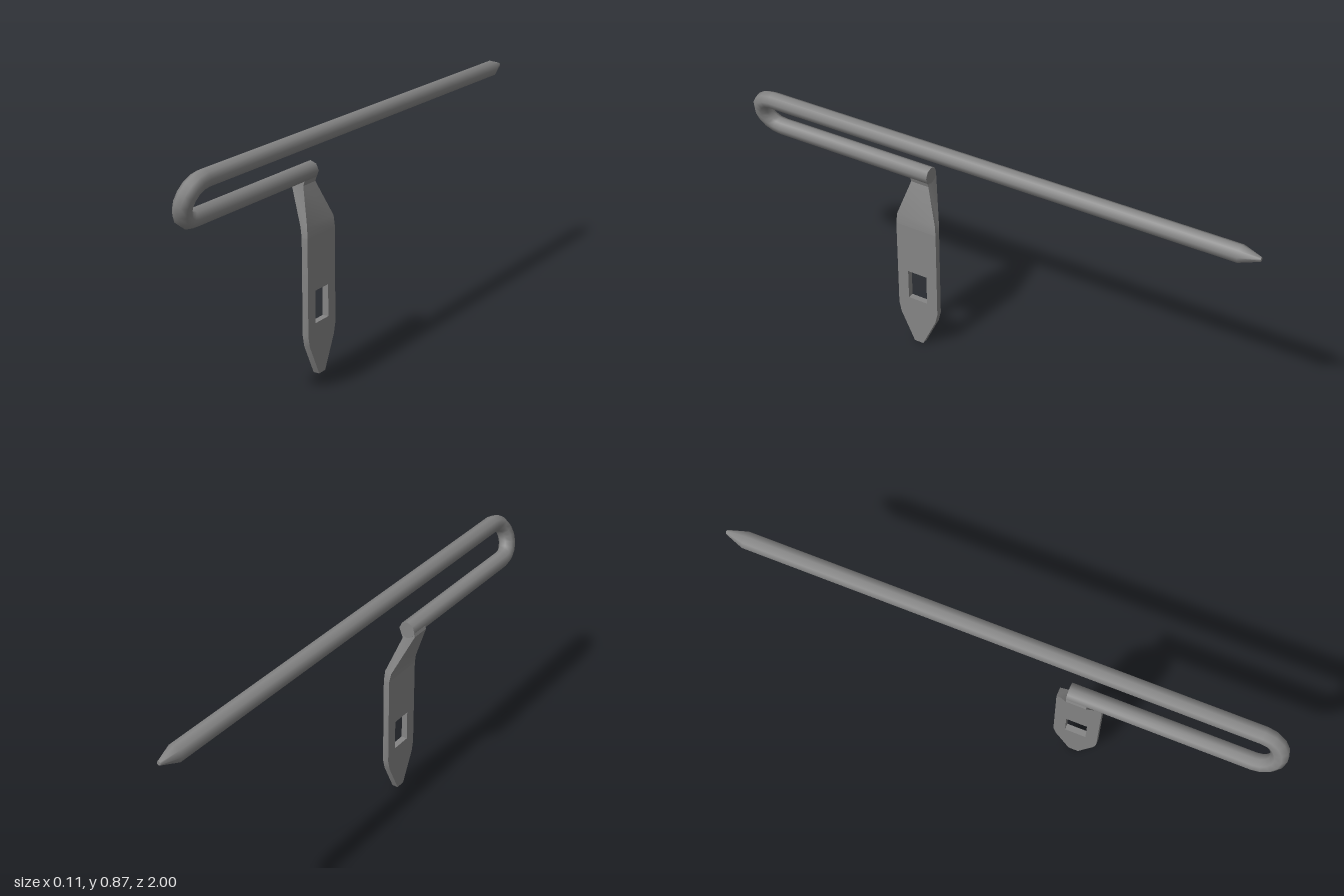
import * as THREE from 'three';
import { toCreasedNormals } from 'three/addons/utils/BufferGeometryUtils.js';

const material = new THREE.MeshStandardMaterial({ color: 0x848484 });

// Skins a row of equal-sized point rings and caps both ends
function loft(rings, crease) {
  const n = rings[0].length, index = [];
  for (let i = 0; i < rings.length - 1; i++) {
    for (let j = 0; j < n; j++) {
      const a = i * n + j, b = i * n + (j + 1) % n;
      index.push(a, b, a + n, b, b + n, a + n);
    }
  }
  const last = (rings.length - 1) * n;
  for (let j = 1; j < n - 1; j++) {
    index.push(0, j + 1, j, last, last + j, last + j + 1);
  }
  const geometry = new THREE.BufferGeometry();
  geometry.setAttribute('position', new THREE.Float32BufferAttribute(rings.flat(2), 3));
  geometry.setIndex(index);
  return toCreasedNormals(geometry, crease);
}

function addMesh(group, name, geometry) {
  const mesh = new THREE.Mesh(geometry, material);
  mesh.name = name;
  group.add(mesh);
  return mesh;
}

// Octagonal rod: lower arm, hairpin bend in a leaning plane, long upper arm, pointed tip
function rodGeometry() {
  const radius = 0.0315, bendZ = 0.9, bendR = 0.07, lean = 0.349;
  const up = new THREE.Vector3(Math.sin(lean), Math.cos(lean), 0);
  const side = new THREE.Vector3(up.y, -up.x, 0);
  const forward = new THREE.Vector3(0, 0, 1);

  const ring = (height, z, angle, scale = 1) => {
    const center = new THREE.Vector3(0.002, 0.768, z).addScaledVector(up, height);
    const normal = up.clone().multiplyScalar(-Math.cos(angle)).addScaledVector(forward, Math.sin(angle));
    return Array.from({ length: 8 }, (_, k) => {
      const a = (k + 0.5) * Math.PI / 4;
      return center.clone()
        .addScaledVector(normal, radius * scale * Math.cos(a))
        .addScaledVector(side, radius * scale * Math.sin(a)).toArray();
    });
  };

  const rings = [ring(-bendR, 0.254, 0)];
  const steps = 8;
  for (let i = 0; i <= steps; i++) {
    const t = Math.PI * i / steps;
    rings.push(ring(-bendR * Math.cos(t), bendZ + bendR * Math.sin(t), t));
  }
  rings.push(ring(bendR, -0.93, Math.PI), ring(bendR + 0.004, -1, Math.PI, 0.24));
  return loft(rings, 0.9);
}

// Flat lower blade with a tapered foot and a rectangular slot
function bladeGeometry() {
  const shape = new THREE.Shape([
    [0.267, 0], [0.304, 0], [0.36, 0.115], [0.368, 0.155], [0.368, 0.5],
    [0.201, 0.5], [0.201, 0.155], [0.211, 0.115],
  ].map(([z, y]) => new THREE.Vector2(z, y)));
  shape.holes.push(new THREE.Path([
    [0.245, 0.19], [0.245, 0.306], [0.324, 0.306], [0.324, 0.19],
  ].map(([z, y]) => new THREE.Vector2(z, y))));
  const geometry = new THREE.ExtrudeGeometry(shape, { depth: 0.023, bevelEnabled: false });
  return toCreasedNormals(geometry, 0.5);
}

// Bent neck that narrows and thickens, then leans back into the rod
function neckGeometry() {
  // [left x, left y, right x, right y, back z, front z]
  const sections = [
    [0.015, 0.5, 0.038, 0.5, 0.201, 0.368],
    [0.009, 0.535, 0.035, 0.54, 0.205, 0.365],
    [-0.055, 0.684, -0.004, 0.665, 0.255, 0.327],
    [-0.049, 0.703, 0.002, 0.684, 0.255, 0.327],
  ];
  return loft(sections.map(([xl, yl, xr, yr, zb, zf]) => [
    [xl, yl, zb], [xl, yl, zf], [xr, yr, zf], [xr, yr, zb],
  ]), 0.6);
}

export function createModel() {
  const group = new THREE.Group();
  group.name = 'bentRodOnBlade';
  addMesh(group, 'rod', rodGeometry());
  const blade = addMesh(group, 'blade', bladeGeometry());
  blade.rotation.y = -Math.PI / 2;
  blade.position.x = 0.038;
  addMesh(group, 'neck', neckGeometry());
  return group;
}
